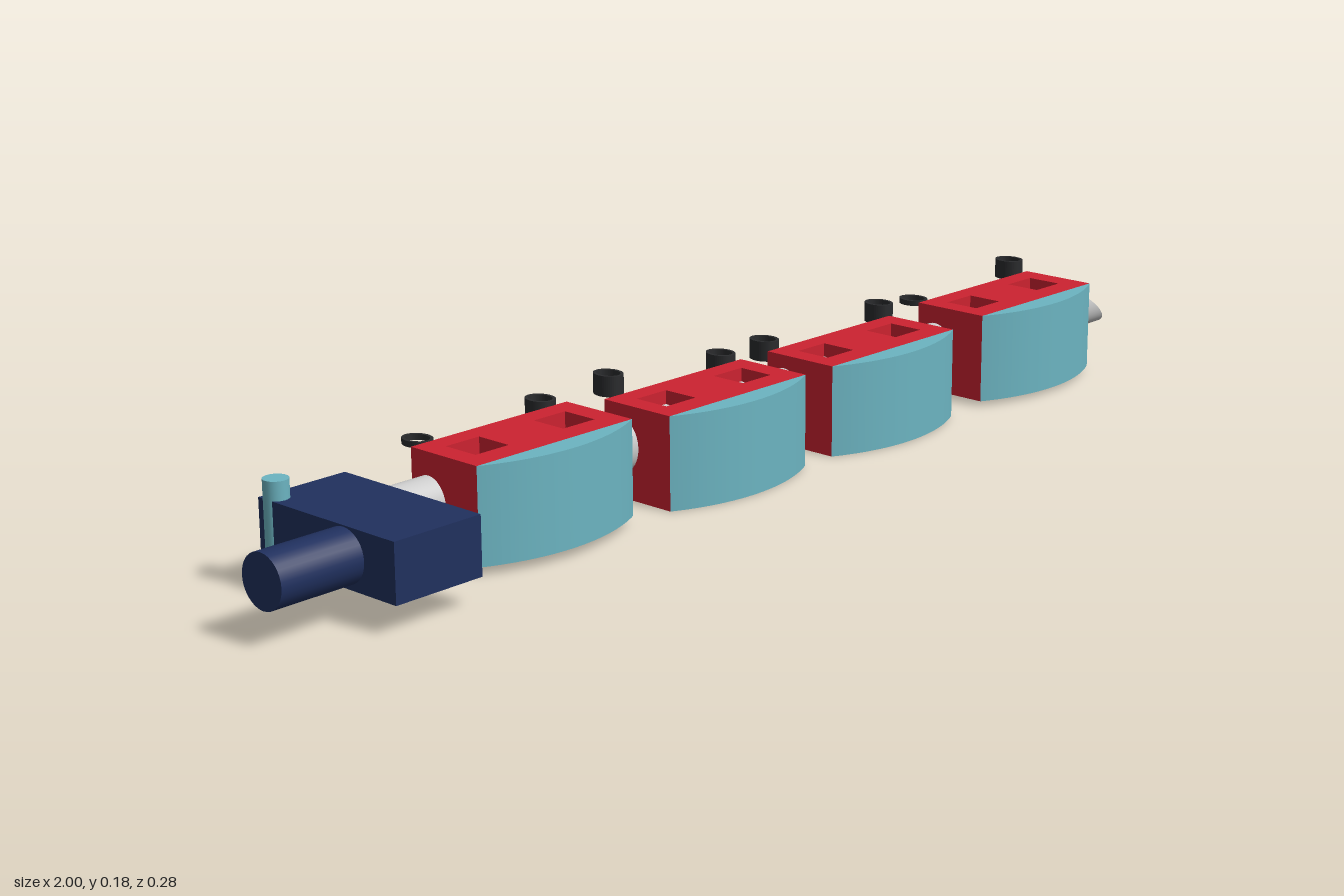
import * as THREE from 'three';

const mat = (color) => new THREE.MeshStandardMaterial({ color });

function add(parent, name, geometry, material, x = 0, y = 0, z = 0) {
  const mesh = new THREE.Mesh(geometry, material);
  mesh.name = name;
  mesh.position.set(x, y, z);
  parent.add(mesh);
  return mesh;
}

// Plan outline (shape y = -z) raised upwards from y = 0
function raise(shape, height) {
  return new THREE.ExtrudeGeometry(shape, { depth: height, bevelEnabled: false, curveSegments: 24 })
    .rotateX(-Math.PI / 2);
}

function rect(Type, x0, x1, y0, y1) {
  const r = new Type();
  r.moveTo(x0, y0);
  r.lineTo(x1, y0);
  r.lineTo(x1, y1);
  r.lineTo(x0, y1);
  r.closePath();
  return r;
}

// Thin-walled oval ring
function ringGeometry(height) {
  const shape = new THREE.Shape().absellipse(0, 0, 0.021, 0.026, 0, Math.PI * 2);
  shape.holes.push(new THREE.Path().absellipse(0, 0, 0.016, 0.021, 0, Math.PI * 2));
  return raise(shape, height);
}

export function createModel() {
  const group = new THREE.Group();
  const red = mat(0xcc2230), teal = mat(0x6cb4c1), navy = mat(0x20305e);
  const dark = mat(0x2a2b2d), grey = mat(0xcccccc);
  const HALF = 0.155, FRONT = 0.052, BACK = 0.0855, HEIGHT = 0.15;

  // Oval rod whose two ends are cut on the same slant
  const rodGeo = new THREE.CylinderGeometry(1, 1, 1.585, 48).rotateZ(-Math.PI / 2);
  rodGeo.scale(1, 0.043, 0.036);
  const p = rodGeo.attributes.position;
  for (let i = 0; i < p.count; i++) {
    p.setX(i, p.getX(i) - 1.3 * p.getY(i) + 0.5 * p.getZ(i));
  }
  // Keep the sides' smooth normals and tilt only the end caps
  const n = rodGeo.attributes.normal;
  const slant = new THREE.Vector3(1, 1.3, -0.5).normalize();
  for (let i = 0; i < n.count; i++) {
    const s = n.getX(i);
    if (Math.abs(s) > 0.9) n.setXYZ(i, slant.x * s, slant.y * s, slant.z * s);
    else {
      const v = new THREE.Vector3(0, p.getY(i) / 0.043 ** 2, p.getZ(i) / 0.036 ** 2).normalize();
      n.setXYZ(i, v.x, v.y, v.z);
    }
  }
  add(group, 'rod', rodGeo, grey, 0.1475, 0.085, -0.05);

  // Block with two windows passing through from top to bottom
  const blockShape = rect(THREE.Shape, -HALF, HALF, -FRONT, BACK);
  for (const x of [-0.088, 0.085]) {
    blockShape.holes.push(rect(THREE.Path, x - 0.032, x + 0.032, -0.012, 0.05));
  }
  const blockGeo = raise(blockShape, HEIGHT);

  // Bowed front pad
  const padShape = new THREE.Shape();
  const sag = 0.039;
  const radius = (HALF * HALF + sag * sag) / (2 * sag);
  const angle = Math.asin(HALF / radius);
  padShape.absarc(0, -FRONT - sag + radius, radius, -Math.PI / 2 - angle, -Math.PI / 2 + angle, false);
  padShape.closePath();
  const padGeo = raise(padShape, HEIGHT);

  const ringGeo = ringGeometry(0.033);
  const thinRingGeo = ringGeometry(0.009);

  // Each block: centre x, base y, and the rings' [x, y, thin]
  const blocks = [
    { x: -0.47, y: 0.0135, rings: [[-0.59, 0.155, true], [-0.6, 0.02], [-0.345, 0.138], [-0.32, 0.018]] },
    { x: -0.08, y: 0, rings: [[-0.2, 0.147], [-0.22, 0.015], [0.055, 0.128], [0.07, 0.018]] },
    { x: 0.295, y: 0, rings: [[0.16, 0.13], [0.172, 0.015], [0.453, 0.136], [0.45, 0.018]] },
    { x: 0.685, y: 0.008, rings: [[0.547, 0.15, true], [0.555, 0.02], [0.82, 0.147], [0.85, 0.027]] },
  ];
  blocks.forEach((b, i) => {
    const section = new THREE.Group();
    section.name = `section${i + 1}`;
    add(section, 'block', blockGeo, red, b.x, b.y, 0);
    add(section, 'frontPad', padGeo, teal, b.x, b.y, 0);
    for (const [x, y, thin] of b.rings) {
      add(section, 'ring', thin ? thinRingGeo : ringGeo, dark, x, y, -0.111);
    }
    group.add(section);
  });

  // Handle: crosswise box, round grip and upright pin
  const handle = new THREE.Group();
  handle.name = 'handle';
  add(handle, 'handleBox', new THREE.BoxGeometry(0.155, 0.09, 0.283), navy, -0.7825, 0.089, 0.0045);
  add(handle, 'grip', new THREE.CylinderGeometry(0.041, 0.041, 0.15, 32).rotateZ(Math.PI / 2),
    navy, -0.925, 0.091, 0.043);
  add(handle, 'pin', new THREE.CylinderGeometry(0.019, 0.019, 0.147, 24), teal, -0.844, 0.089, -0.117);
  group.add(handle);

  return group;
}
